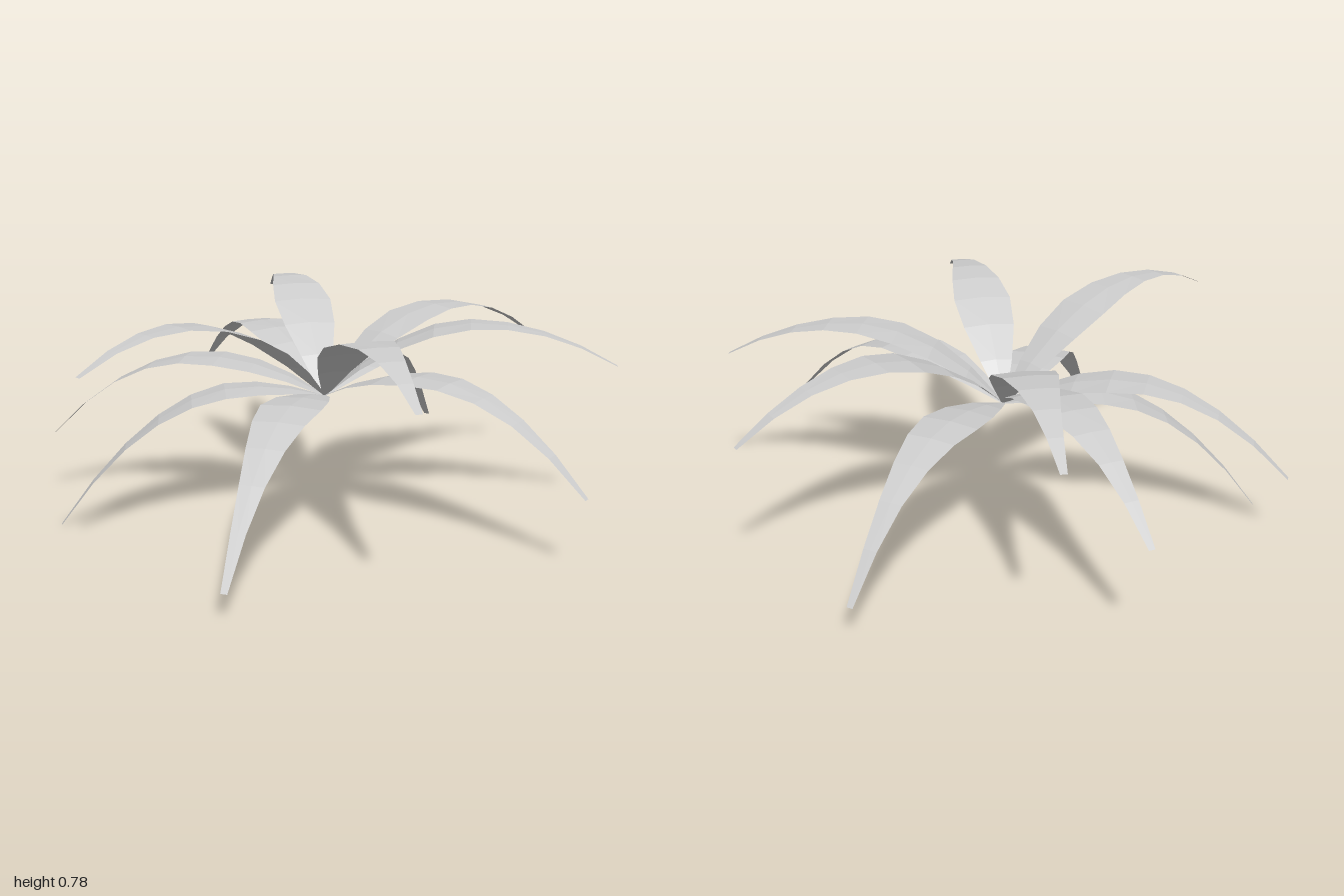
import * as THREE from 'three';

const CENTRE = new THREE.Vector3(-0.02, 0.44, 0.02);

// Each leaf: tip x, y, z, then the radius and height of the top of its arch
const LEAVES = [
  [-0.03, 0.37, -1.0, 0.46, 0.615],
  [0.24, 0.65, -0.95, 0.6, 0.755],
  [0.76, 0.12, -0.55, 0.37, 0.51],
  [0.98, 0.53, -0.15, 0.53, 0.705],
  [0.82, 0.57, 0.57, 0.53, 0.71],
  [0.44, 0.26, 0.91, 0.43, 0.565],
  [-0.23, 0.65, 0.99, 0.6, 0.755],
  [-0.7, 0.09, 0.69, 0.33, 0.5],
  [-0.98, 0.68, 0.28, 0.64, 0.78],
  [-0.89, 0.0, -0.31, 0.27, 0.48],
  [-0.82, 0.25, -0.59, 0.43, 0.565],
];

// Blade width from root to tip
const WIDTHS = [0.015, 0.115, 0.185, 0.21, 0.178, 0.13, 0.085, 0.05, 0.022];

function leafGeometry([tx, ty, tz, peakR, peakY]) {
  const dx = tx - CENTRE.x, dz = tz - CENTRE.z;
  const length = Math.hypot(dx, dz);
  const dir = new THREE.Vector3(dx / length, 0, dz / length);
  const side = new THREE.Vector3(-dir.z, 0, dir.x);

  // Arch made of two parabolas that meet at the peak
  const height = (r) => r < peakR
    ? peakY - (peakY - CENTRE.y) * ((peakR - r) / peakR) ** 2
    : peakY - (peakY - ty) * ((r - peakR) / (length - peakR)) ** 2;

  const points = [], index = [];
  const last = WIDTHS.length - 1;
  WIDTHS.forEach((w, i) => {
    const t = i / last;
    const mid = CENTRE.clone().addScaledVector(dir, length * t).setY(height(length * t));
    // Left edge, midrib, right edge: the fold flattens out towards the tip
    for (const s of [-1, 0, 1]) {
      const p = mid.clone().addScaledVector(side, s * w / 2);
      if (s !== 0) p.y -= w * 0.05 * (1 - t);
      points.push(p.x, p.y, p.z);
    }
    if (i < last) {
      for (const c of [0, 1]) {
        const a = i * 3 + c;
        index.push(a, a + 1, a + 3, a + 1, a + 4, a + 3);
      }
    }
  });
  const geometry = new THREE.BufferGeometry();
  geometry.setAttribute('position', new THREE.Float32BufferAttribute(points, 3));
  geometry.setIndex(index);
  const flat = geometry.toNonIndexed();
  flat.computeVertexNormals();
  return flat;
}

export function createModel() {
  const group = new THREE.Group();
  group.name = 'leafRosette';
  const leafGrey = new THREE.MeshStandardMaterial({
    color: 0xcccccc, flatShading: true, side: THREE.DoubleSide,
  });
  leafGrey.name = 'leaf grey';
  LEAVES.forEach((leaf, i) => {
    const mesh = new THREE.Mesh(leafGeometry(leaf), leafGrey);
    mesh.name = `leaf${i + 1}`;
    group.add(mesh);
  });
  return group;
}
